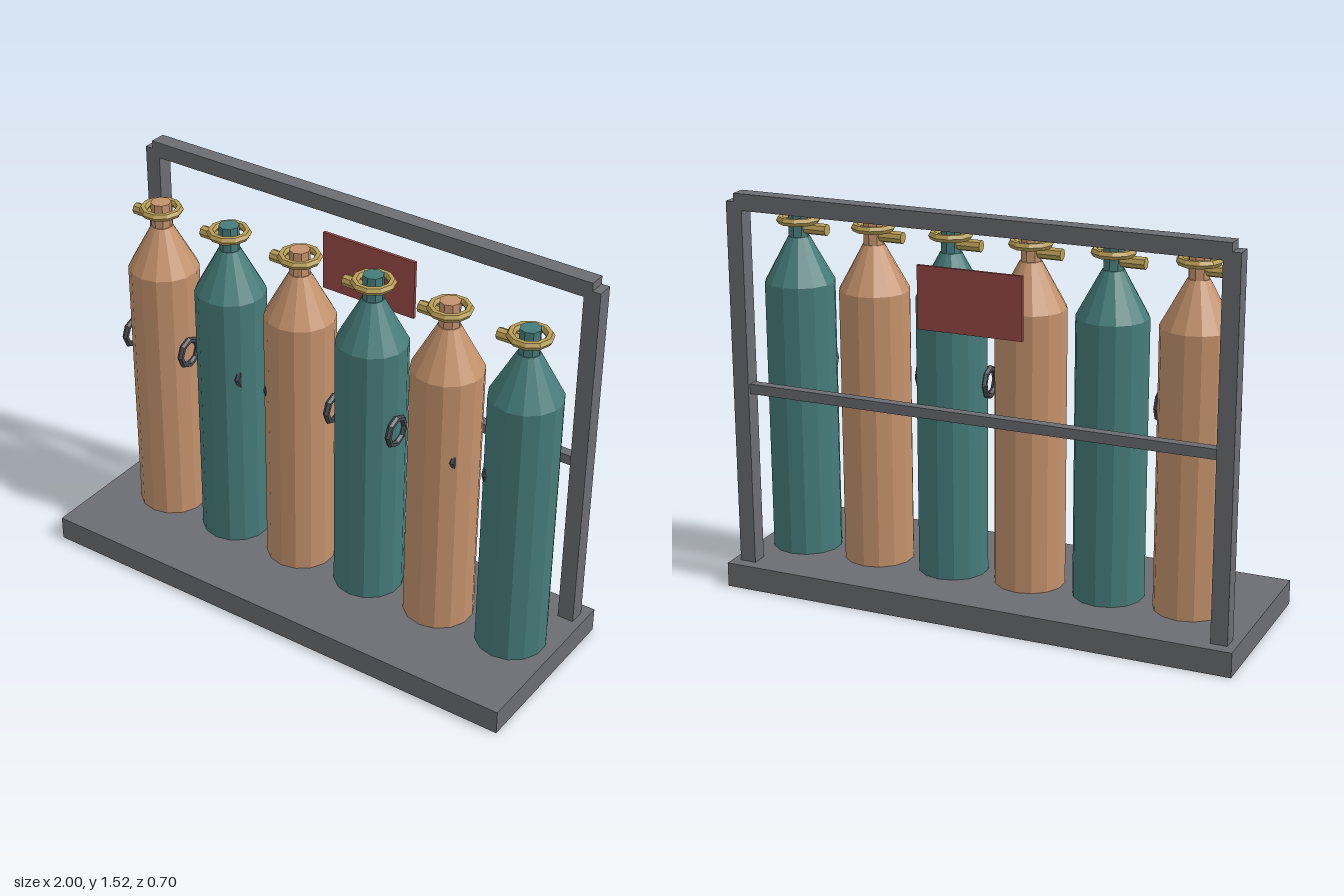
import * as THREE from 'three';

const mat = (color) => new THREE.MeshStandardMaterial({ color, flatShading: true });

export function createModel() {
  const model = new THREE.Group();
  model.name = 'gasCylinderRack';
  const steel = mat(0x6c6d73), chainSteel = mat(0x474b52), brass = mat(0xb89d55);
  const red = mat(0x9a4a48), orange = mat(0xc4926c), teal = mat(0x457c7a);

  const add = (parent, name, geometry, material, x, y, z) => {
    const mesh = new THREE.Mesh(geometry, material);
    mesh.name = name;
    mesh.position.set(x, y, z);
    parent.add(mesh);
    return mesh;
  };
  const box = (name, w, h, d, material, x, y, z) =>
    add(model, name, new THREE.BoxGeometry(w, h, d), material, x, y, z);

  // Base and rear frame
  const frameZ = -0.272;
  box('base', 2, 0.094, 0.7, steel, 0, 0.047, 0);
  for (const side of [-1, 1]) {
    box(side > 0 ? 'leftPost' : 'rightPost', 0.063, 1.393, 0.063, steel, side * 0.9375, 0.7905, frameZ);
  }
  box('topRail', 1.875, 0.062, 0.063, steel, 0, 1.487, frameZ);
  box('middleRail', 1.875, 0.038, 0.038, steel, 0, 0.781, frameZ);
  box('backSign', 0.4, 0.232, 0.0125, red, 0, 1.215, -0.31);

  // Bottles: body, sloped shoulder, neck, valve ring and side outlet
  const bodyGeo = new THREE.CylinderGeometry(0.133, 0.133, 1.05, 14);
  const shoulderGeo = new THREE.CylinderGeometry(0.04, 0.133, 0.171, 14);
  const neckGeo = new THREE.CylinderGeometry(0.0385, 0.0385, 0.1, 8);
  const ringGeo = new THREE.TorusGeometry(0.0675, 0.0155, 6, 10).rotateX(Math.PI / 2);
  const outletGeo = new THREE.CylinderGeometry(0.0225, 0.0225, 0.12, 8).rotateZ(Math.PI / 2);
  for (let i = 0; i < 6; i++) {
    const bottle = new THREE.Group();
    bottle.name = 'gasBottle' + (i + 1);
    bottle.position.set(-0.7375 + i * 0.3125, 0, -0.036);
    const paint = i % 2 ? teal : orange;
    add(bottle, 'body', bodyGeo, paint, 0, 0.619, 0);
    add(bottle, 'shoulder', shoulderGeo, paint, 0, 1.2295, 0);
    add(bottle, 'neck', neckGeo, paint, 0, 1.359, 0);
    add(bottle, 'valveRing', ringGeo, brass, 0, 1.378, 0);
    add(bottle, 'outlet', outletGeo, brass, -0.06, 1.347, 0);
    model.add(bottle);
  }

  // Row of chain links running through the bottles
  const linkGeo = new THREE.TorusGeometry(0.052, 0.0125, 6, 8).rotateY(Math.PI / 2);
  for (let i = 0; i < 14; i++) {
    add(model, 'chainLink' + (i + 1), linkGeo, chainSteel, -0.8667 + i * 0.13333, 0.83, 0.004);
  }
  return model;
}
